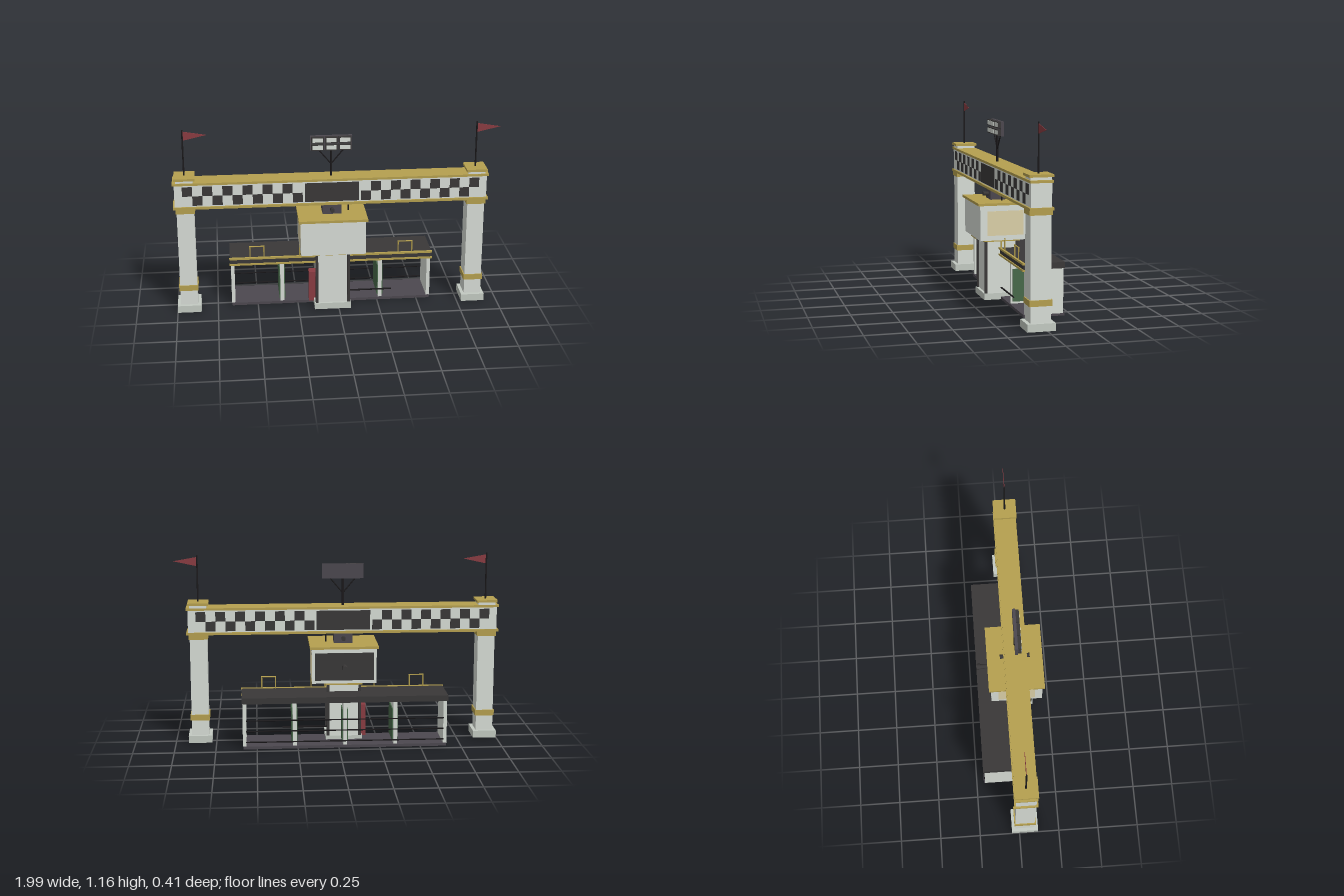
import * as THREE from 'three';

const mat = (color) => new THREE.MeshStandardMaterial({ color });
const white = mat(0xd8ddd6), stone = mat(0xc3cac2), gold = mat(0xb5a04f), dark = mat(0x3a3838),
  floorGrey = mat(0x4c484f), red = mat(0x8a3c42), green = mat(0x48694a), tan = mat(0xdbd0a8), black = mat(0x1c1a1c);

export function createModel() {
  const root = new THREE.Group();
  root.name = 'raceGantry';
  root.position.x = -0.0385; // the flag on the left overhangs, so the gantry sits off centre
  const ZC = 0.035; // depth centre of the gantry

  const add = (name, geo, m, parent = root) => {
    const mesh = new THREE.Mesh(geo, m);
    mesh.name = name;
    parent.add(mesh);
    return mesh;
  };
  // box given by its limits on each axis
  const box = (name, m, x0, x1, y0, y1, z0, z1, parent) => {
    const b = add(name, new THREE.BoxGeometry(x1 - x0, y1 - y0, z1 - z0), m, parent);
    b.position.set((x0 + x1) / 2, (y0 + y1) / 2, (z0 + z1) / 2);
    return b;
  };
  // box centred on x and ZC, by width, depth and height limits
  const slab = (name, m, x, w, d, y0, y1, parent) =>
    box(name, m, x - w / 2, x + w / 2, y0, y1, ZC - d / 2, ZC + d / 2, parent);
  // round bar between two points
  const rod = (name, m, a, b, r, parent) => {
    const p = new THREE.Vector3(...a), q = new THREE.Vector3(...b);
    const c = add(name, new THREE.CylinderGeometry(r, r, p.distanceTo(q), 10), m, parent);
    c.position.copy(p).add(q).multiplyScalar(0.5);
    c.quaternion.setFromUnitVectors(new THREE.Vector3(0, 1, 0), q.sub(p).normalize());
    return c;
  };

  // Pillars with flags
  const flagShape = new THREE.Shape([[0, 1.15], [0.144, 1.125], [0, 1.093]].map((p) => new THREE.Vector2(...p)));
  const flagGeo = new THREE.ExtrudeGeometry(flagShape, { depth: 0.003, bevelEnabled: false });
  for (const s of [-1, 1]) {
    const pillar = new THREE.Group(), x = s * 0.888;
    pillar.name = s < 0 ? 'rightPillar' : 'leftPillar';
    root.add(pillar);
    slab('pillarBase', stone, x, 0.145, 0.165, 0, 0.045, pillar);
    slab('pillarShaft', white, x, 0.105, 0.12, 0.045, 0.68, pillar);
    slab('pillarBand', gold, x, 0.118, 0.134, 0.14, 0.175, pillar);
    slab('pillarCapital', gold, x, 0.118, 0.134, 0.65, 0.68, pillar);
    slab('pillarTop', white, x, 0.105, 0.12, 0.84, 0.862, pillar);
    slab('pillarCap', gold, x, 0.127, 0.142, 0.86, 0.875, pillar);
    rod('flagPole', black, [x, 0.875, ZC], [x, 1.16, ZC], 0.005, pillar);
    add('flag', flagGeo, red, pillar).position.set(x, 0, ZC - 0.0015);
  }

  // Beam with trims, chequered squares and centre panels on both faces
  slab('beam', white, 0, 1.9, 0.12, 0.69, 0.832);
  slab('beamLowerTrim', gold, 0, 1.922, 0.141, 0.678, 0.693);
  slab('beamUpperTrim', gold, 0, 1.922, 0.134, 0.83, 0.844);
  slab('beamPanel', dark, 0, 0.33, 0.126, 0.7, 0.82);
  const q = 0.0604;
  for (const s of [-1, 1])
    for (let i = 0; i < 12; i++) {
      const y = i % 2 ? 0.76 : 0.7;
      slab('chequer', dark, s * (0.178 + q * (i + 0.5)), q, 0.124, y, y + 0.06);
    }

  // Floodlight on a braced mast
  const light = new THREE.Group();
  light.name = 'floodlight';
  root.add(light);
  rod('mast', black, [0, 0.84, ZC], [0, 1.03, ZC], 0.007, light);
  for (const s of [-1, 1]) rod('mastBrace', black, [0, 0.92, ZC], [s * 0.075, 1.01, ZC], 0.004, light);
  box('lampBoard', floorGrey, -0.127, 0.127, 1.01, 1.1, 0.027, 0.045, light);
  for (let i = -1; i <= 1; i++)
    for (const y of [1.033, 1.079]) {
      const x = i * 0.083;
      box('lampHousing', dark, x - 0.038, x + 0.038, y - 0.019, y + 0.019, 0.045, 0.065, light);
      box('lampLens', white, x - 0.031, x + 0.031, y - 0.013, y + 0.013, 0.06, 0.0665, light);
    }

  // Central tower and control booth
  slab('towerBase', stone, 0, 0.225, 0.226, 0, 0.04);
  slab('towerColumn', white, 0, 0.195, 0.194, 0.04, 0.37);
  for (const sx of [-1, 1])
    for (const sz of [-1, 1])
      box('towerPost', dark, sx * 0.098 - 0.008, sx * 0.098 + 0.008, 0.04, 0.365,
        ZC + sz * 0.099 - 0.008, ZC + sz * 0.099 + 0.008);
  slab('towerCollar', gold, 0, 0.23, 0.226, 0.363, 0.387);
  slab('booth', white, 0, 0.395, 0.317, 0.385, 0.602);
  slab('boothRoof', gold, 0, 0.42, 0.343, 0.6, 0.615);
  slab('boothSideWindows', tan, 0, 0.399, 0.226, 0.415, 0.565);
  box('boothScreen', dark, -0.18, 0.18, 0.405, 0.575, -0.13, -0.12);
  rod('cameraBarrel', dark, [0, 0.49, -0.125], [0, 0.49, -0.185], 0.015);
  rod('cameraHood', dark, [0, 0.49, -0.18], [0, 0.49, -0.203], 0.019);

  // Hanger between booth and beam
  slab('hangerBlock', floorGrey, 0, 0.115, 0.115, 0.615, 0.68);
  rod('hangerSpotlight', dark, [0, 0.647, -0.056], [0, 0.647, 0.127], 0.013);
  rod('roofCable', black, [0.105, 0.615, ZC], [0.105, 0.68, ZC], 0.004);

  // Stall building behind the tower
  const stalls = new THREE.Group();
  stalls.name = 'stalls';
  root.add(stalls);
  const zb = -0.197, zf = 0.035;
  box('stallFloor', floorGrey, -0.622, 0.622, 0, 0.017, -0.205, 0.043, stalls);
  box('stallRoof', dark, -0.63, 0.63, 0.283, 0.32, -0.205, 0.045, stalls);
  box('roofUpperTrim', gold, -0.634, 0.634, 0.312, 0.324, 0.038, 0.052, stalls);
  box('roofLowerTrim', gold, -0.634, 0.634, 0.274, 0.285, 0.038, 0.052, stalls);
  for (const s of [-1, 1])
    box('endWall', white, s * 0.614 - 0.011, s * 0.614 + 0.011, 0.015, 0.284, zb, zf, stalls);
  for (const x of [-0.308, 0, 0.308]) {
    box('dividerWall', white, x - 0.012, x + 0.012, 0.015, 0.284, zb, zf, stalls);
    box('dividerPad', green, x - 0.018, x + 0.018, 0.03, 0.23, zb + 0.03, zf - 0.01, stalls);
  }
  for (const y of [0.042, 0.11, 0.177])
    rod('backRail', black, [-0.605, y, -0.198], [0.605, y, -0.198], 0.004, stalls);

  // Hoops along the front roof edge
  for (const i of [-1.5, -0.5, 0.5, 1.5]) {
    const x = i * 0.308, z = 0.04, h = 0.043;
    for (const s of [-1, 1]) rod('hoopLeg', gold, [x + s * h, 0.318, z], [x + s * h, 0.396, z], 0.004, stalls);
    rod('hoopBar', gold, [x - h - 0.004, 0.394, z], [x + h + 0.004, 0.394, z], 0.004, stalls);
  }

  // Barrier arm and red side cabinet on the tower
  rod('barrierArm', black, [0.09, 0.07, ZC], [0.378, 0.07, ZC], 0.005);
  box('sideCabinet', red, -0.142, -0.095, 0.018, 0.215, 0, 0.06);

  return root;
}
